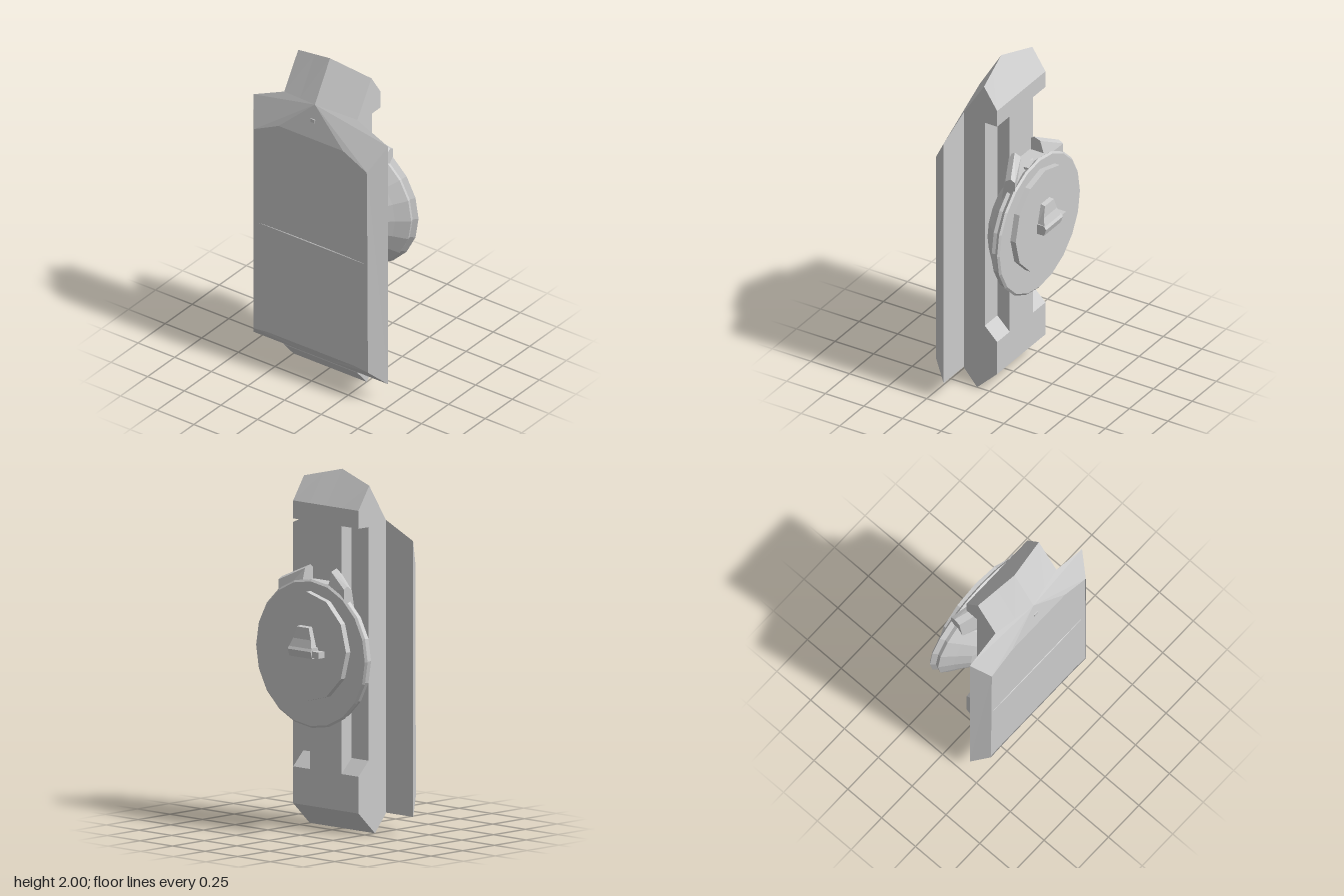
import * as THREE from 'three';

const grey = new THREE.MeshStandardMaterial({ color: 0xcccccc, flatShading: true });
const greyThin = new THREE.MeshStandardMaterial({ color: 0xcccccc, flatShading: true, side: THREE.DoubleSide });

function add(parent, name, geometry, x = 0, y = 0, z = 0, material = grey) {
  const mesh = new THREE.Mesh(geometry, material);
  mesh.name = name;
  mesh.position.set(x, y, z);
  parent.add(mesh);
  return mesh;
}

// Extrudes a side profile of [z, y] points from x0 to x1; rule(v) may then move each vertex
function prism(profile, x0, x1, rule) {
  const shape = new THREE.Shape(profile.map(([z, y]) => new THREE.Vector2(z, y)));
  const g = new THREE.ExtrudeGeometry(shape, { depth: x1 - x0, bevelEnabled: false });
  g.rotateY(-Math.PI / 2).translate(x1, 0, 0);
  if (rule) {
    const p = g.attributes.position, v = new THREE.Vector3();
    for (let i = 0; i < p.count; i++) {
      rule(v.fromBufferAttribute(p, i));
      p.setXYZ(i, v.x, v.y, v.z);
    }
    g.computeVertexNormals();
  }
  return g;
}

// Polygons given on the +x half, mirrored to -x
function mirroredFaces(points, faces) {
  const out = [];
  for (const s of [1, -1]) {
    for (const face of faces) {
      const names = face.split(' ');
      for (let i = 1; i < names.length - 1; i++) {
        const tri = [names[0], names[i], names[i + 1]];
        if (s < 0) tri.reverse();
        for (const n of tri) out.push(points[n][0] * s, points[n][1], points[n][2]);
      }
    }
  }
  const g = new THREE.BufferGeometry();
  g.setAttribute('position', new THREE.Float32BufferAttribute(out, 3));
  g.computeVertexNormals();
  return g;
}

function buildCore(parent) {
  const front = [[0.165, 0.1], [0.22, 1.77], [0.08, 2], [-0.05, 1.81]];
  const solid = [[0.08, 0], ...front, [-0.05, 0.125]];
  const notched = [[0.08, 0], ...front, [-0.05, 1.71], [0.03, 1.71], [0.03, 0.41], [-0.05, 0.33], [-0.05, 0.125]];
  // Top ridge and front shoulder fall away from the centre
  const slope = v => {
    const a = Math.abs(v.x);
    if (v.y > 1.9) { v.y -= 0.24 * a; v.z -= 0.18 * a; }
    else if (v.z > 0.2) { v.y -= 0.14 * a; v.z -= 0.22 * a; }
  };
  for (const [x0, x1, profile] of [[-0.25, -0.12, notched], [-0.12, 0, solid], [0, 0.12, solid], [0.12, 0.25, notched]])
    add(parent, 'coreBlock', prism(profile, x0, x1, slope));
}

function buildPlate(parent) {
  const pts = {
    apex: [0, 1.77, 0.22], neck: [0.25, 1.735, 0.165], shoulder: [0.46, 1.64, 0.165],
    corner: [0.385, 1.49, 0.26], top: [0.22, 1.57, 0.258], topMid: [0, 1.57, 0.258],
    lowMid: [0, 0.21, 0.258], low: [0.3, 0.21, 0.258], lowCorner: [0.39, 0.2, 0.258],
    foot: [0.46, 0.105, 0.165], footMid: [0, 0.105, 0.165], neckMid: [0, 1.735, 0.165],
  };
  add(parent, 'bevelledShell', mirroredFaces(pts, [
    'footMid foot lowCorner low lowMid',
    'foot shoulder corner lowCorner',
    'apex topMid top', 'apex top corner', 'apex corner shoulder', 'apex shoulder neck',
    'footMid neckMid neck shoulder foot',
  ]), 0, 0, 0, greyThin);

  // Front panel set just inside the bevelled edge
  const half = [[0.39, 0.2], [0.388, 1.47], [0.365, 1.5], [0.22, 1.57]];
  const left = half.map(([x, y]) => [-x, y]).reverse();
  const outline = [[0.3, 0.21], ...half, ...left, [-0.3, 0.21]].map(p => new THREE.Vector2(...p));
  const panel = new THREE.ExtrudeGeometry(new THREE.Shape(outline), { depth: 0.01, bevelEnabled: false });
  add(parent, 'frontPanel', panel, 0, 0, 0.243);

  // Narrow crease across the panel and a small stud above it
  const crease = new THREE.SphereGeometry(1, 16, 6).scale(0.38, 0.006, 0.005);
  add(parent, 'panelCrease', crease, 0, 0.89, 0.252);
  add(parent, 'stud', new THREE.BoxGeometry(0.03, 0.02, 0.012), 0, 1.675, 0.236);
}

function buildDial(parent) {
  // Shallow bowl with its flat side to the rear
  const profile = [[0, -0.17], [0.415, -0.17], [0.427, -0.16], [0.405, -0.135], [0.41, -0.115],
    [0.34, -0.06], [0.27, 0], [0.15, 0.033], [0, 0.035]].map(p => new THREE.Vector2(...p));
  const bowl = new THREE.LatheGeometry(profile, 20).rotateX(Math.PI / 2).scale(1, 0.97, 1);
  add(parent, 'bowl', bowl, 0, 1.0, 0);

  // Mount joining the bowl to the core
  add(parent, 'mount', new THREE.BoxGeometry(0.18, 0.65, 0.13), 0, 1.07, -0.1);

  // Pair of horns above the rim, sweeping back as they go outward
  const horn = [[0, 1.15], [-0.01, 1.32], [-0.035, 1.45], [-0.07, 1.475], [-0.11, 1.46], [-0.14, 1.36], [-0.14, 1.15]];
  const sweep = v => {
    const a = Math.abs(v.x) - 0.1;
    v.y -= 0.5 * a;
    v.z = Math.max(-0.165, v.z - 0.45 * a);
  };
  add(parent, 'hornLeft', prism(horn, 0.1, 0.25, sweep));
  add(parent, 'hornRight', prism(horn, -0.25, -0.1, sweep));

  // Raised twelve-sided disc
  const disc = new THREE.CylinderGeometry(0.305, 0.305, 0.035, 12).rotateX(Math.PI / 2);
  add(parent, 'rearDisc', disc, 0, 1.045, -0.187);

  // Knob: tapered grip over a cross bar
  const grip = [[-0.2, 1.02], [-0.2, 1.16], [-0.232, 1.155], [-0.238, 1.09], [-0.255, 1.04]];
  const taper = v => { v.x *= 1 - 4 * Math.max(0, v.y - 1.04); };
  add(parent, 'knobGrip', prism(grip, -0.085, 0.085, taper));
  const bar = [[-0.2, 0.99], [-0.2, 1.05], [-0.25, 1.05], [-0.263, 1.03], [-0.25, 0.99]];
  add(parent, 'knobBar', prism(bar, -0.09, 0.085));
  add(parent, 'knobTip', new THREE.BoxGeometry(0.06, 0.035, 0.05), -0.11, 1.015, -0.228);
}

export function createModel() {
  const model = new THREE.Group();
  model.name = 'model';
  for (const [name, build] of [['core', buildCore], ['frontPlate', buildPlate], ['dial', buildDial]]) {
    const group = new THREE.Group();
    group.name = name;
    build(group);
    model.add(group);
  }
  return model;
}
